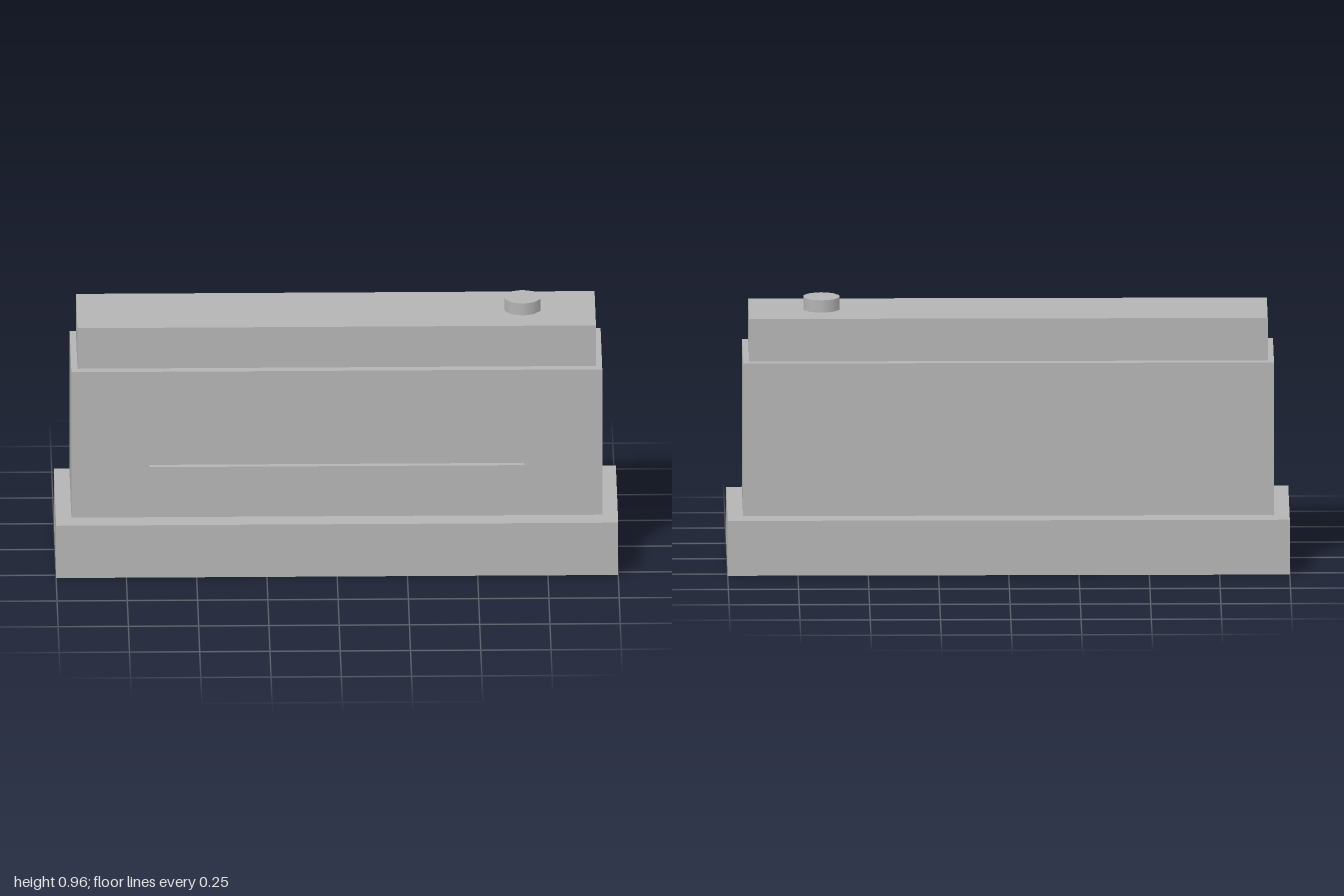
import * as THREE from 'three';

export function createModel() {
  const model = new THREE.Group();
  model.name = 'steppedBlock';
  const grey = new THREE.MeshStandardMaterial({ color: 0xb4b4b4 });
  grey.name = 'plain grey';

  // Box given by its bottom and top heights
  function block(name, width, bottom, top, depth, z = 0) {
    const mesh = new THREE.Mesh(new THREE.BoxGeometry(width, top - bottom, depth), grey);
    mesh.name = name;
    mesh.position.set(0, (bottom + top) / 2, z);
    model.add(mesh);
  }

  // Three stacked tiers
  block('base', 2, 0, 0.2, 0.556);
  block('body', 1.889, 0.2, 0.756, 0.4);
  block('topTier', 1.845, 0.756, 0.911, 0.333);

  // Raised strip across the front
  block('frontStrip', 1.333, 0.335, 0.4, 0.022, 0.211);

  // Ten-sided button on top, near the left end
  const button = new THREE.Mesh(new THREE.CylinderGeometry(0.067, 0.067, 0.045, 10), grey);
  button.name = 'topButton';
  button.position.set(0.664, 0.9335, 0);
  model.add(button);

  return model;
}
